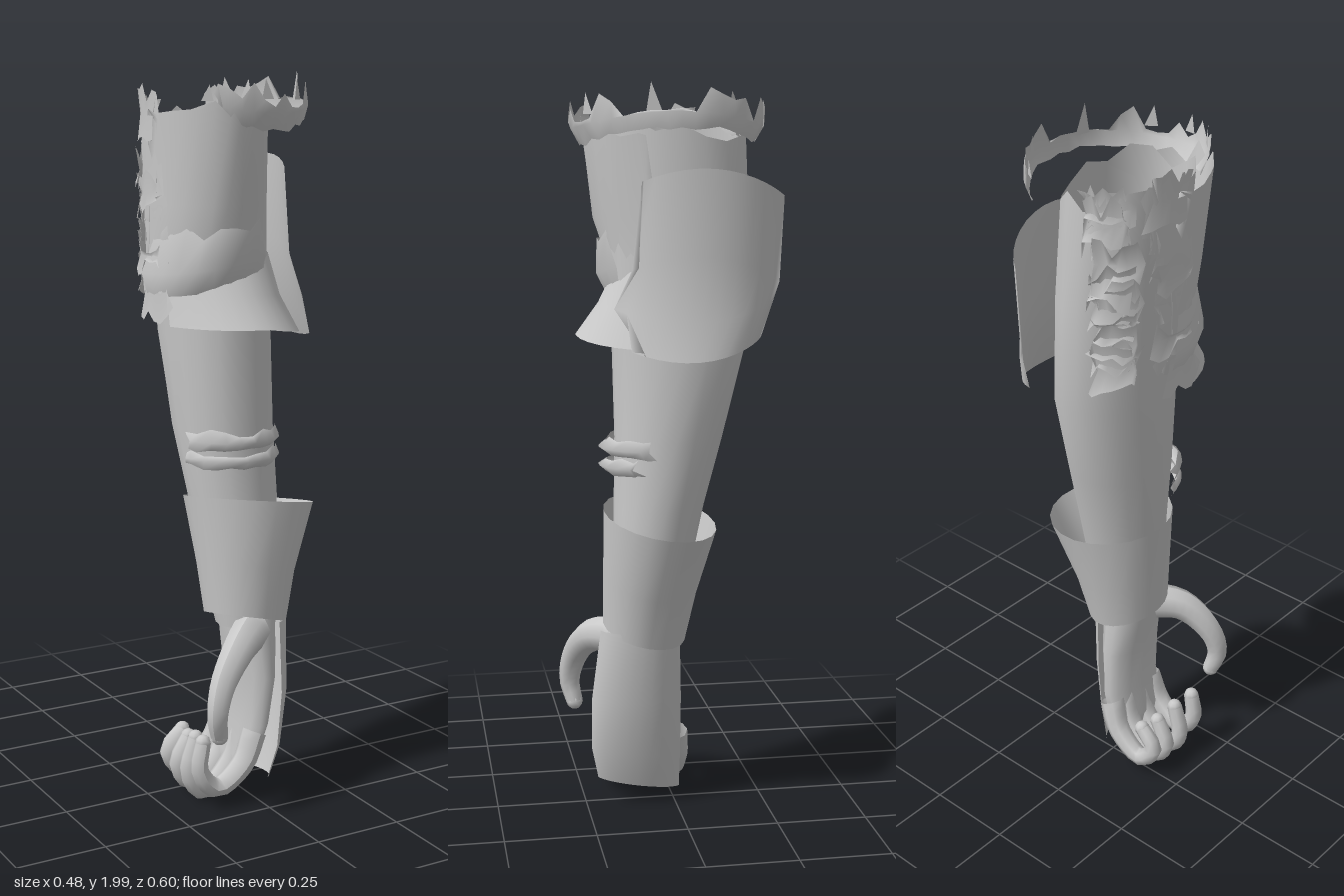
import * as THREE from 'three';

const RAD = Math.PI / 180;

export function createModel() {
  const model = new THREE.Group();
  model.name = 'tornSleeveArm';
  const grey = new THREE.MeshStandardMaterial({ color: 0xc8c8c8, side: THREE.DoubleSide });
  grey.name = 'plainGrey';

  let seed = 7;
  const rand = () => (seed = (seed * 16807) % 2147483647) / 2147483647;
  const add = (name, geometry, parent = model) => {
    const mesh = new THREE.Mesh(geometry, grey);
    mesh.name = name;
    parent.add(mesh);
    return mesh;
  };

  // Sheet through elliptical rings [y, cx, cz, rx, rz], bottom to top.
  // Angles: 0 = +x, 90 = +z, 180 = -x, 270 = -z. rag tears top, bottom and ends.
  function sheet(rings, { a0 = 0, a1 = 360, seg = 16, lift = () => 0, top = 0, bottom = 0, ends = 0 } = {}) {
    const closed = a1 - a0 === 360;
    const cols = closed ? seg : seg + 1;
    const pos = [], index = [];
    rings.forEach(([y, cx, cz, rx, rz], r) => {
      const t = r / (rings.length - 1);
      for (let i = 0; i < cols; i++) {
        let a = a0 + (a1 - a0) * i / seg;
        if (!closed && i === 0) a += ends * rand();
        if (!closed && i === seg) a -= ends * rand();
        let dy = lift(a * RAD, t);
        if (t === 1) dy += top * (rand() - 0.5);
        if (t === 0) dy += bottom * (rand() - 0.5);
        pos.push(cx + rx * Math.cos(a * RAD), y + dy, cz + rz * Math.sin(a * RAD));
      }
    });
    for (let r = 0; r < rings.length - 1; r++) {
      for (let i = 0; i < seg; i++) {
        const a = r * cols + i, b = r * cols + (i + 1) % cols;
        index.push(a, a + cols, b, b, a + cols, b + cols);
      }
    }
    const g = new THREE.BufferGeometry();
    g.setAttribute('position', new THREE.Float32BufferAttribute(pos, 3));
    g.setIndex(index);
    g.computeVertexNormals();
    return g;
  }

  // Tapered digit along a curve with a round tip
  function digit(name, points, r0, r1) {
    const group = new THREE.Group();
    group.name = name;
    const curve = new THREE.CatmullRomCurve3(points.map(p => new THREE.Vector3(...p)));
    const n = 14, sides = 8;
    const g = new THREE.TubeGeometry(curve, n, r0, sides, false);
    const p = g.attributes.position, v = new THREE.Vector3();
    for (let i = 0; i < p.count; i++) {
      const t = Math.floor(i / (sides + 1)) / n;
      const c = curve.getPointAt(t);
      v.fromBufferAttribute(p, i).sub(c).multiplyScalar(1 + (r1 / r0 - 1) * t).add(c);
      p.setXYZ(i, v.x, v.y, v.z);
    }
    g.computeVertexNormals();
    add(name + 'Body', g, group);
    add(name + 'Tip', new THREE.SphereGeometry(r1, 8, 6), group).position.set(...points[points.length - 1]);
    model.add(group);
  }

  // Arm
  add('arm', sheet([
    [0.5, 0.015, 0.09, 0.085, 0.085],
    [0.7, 0.005, 0.06, 0.11, 0.11],
    [0.86, 0, 0.04, 0.125, 0.125],
    [1.05, -0.015, 0.01, 0.137, 0.15],
    [1.3, -0.025, -0.02, 0.145, 0.185],
    [1.6, -0.045, -0.02, 0.14, 0.2],
    [1.88, -0.06, -0.01, 0.14, 0.2],
  ], { top: 0.08, seg: 18 }));

  // Inner sleeve, torn open at the back
  add('upperSleeve', sheet([
    [1.4, -0.05, -0.01, 0.15, 0.17],
    [1.5, -0.055, -0.01, 0.165, 0.17],
    [1.65, -0.065, 0, 0.15, 0.21],
    [1.88, -0.075, 0.01, 0.15, 0.23],
  ], { a0: 10, a1: 200, seg: 14, top: 0.1, bottom: 0.04, ends: 30 }));
  add('sleeveFold', sheet([
    [1.44, -0.06, 0, 0.165, 0.17],
    [1.5, -0.07, 0, 0.17, 0.2],
    [1.6, -0.06, 0, 0.15, 0.2],
  ], { a0: 50, a1: 190, seg: 9, top: 0.05, ends: 15, lift: a => 0.03 * Math.cos(a) }));

  // Large flared flap on the outer side
  add('sideFlap', sheet([
    [1.28, 0.02, -0.01, 0.215, 0.23],
    [1.38, 0.01, -0.02, 0.19, 0.26],
    [1.55, 0.0, -0.04, 0.165, 0.26],
    [1.76, 0.01, -0.06, 0.15, 0.25],
  ], {
    a0: -80, a1: 50, seg: 14, ends: 22,
    lift: (a, t) => (t > 0.5 ? -0.08 : 0.06) * Math.sin(a) ** 2 + (t === 1 ? 0.02 : 0),
  }));

  // Lower front lobes of the flap
  add('frontFlap', sheet([
    [1.335, -0.02, 0, 0.2, 0.265],
    [1.42, -0.035, 0, 0.17, 0.2],
    [1.52, -0.04, 0, 0.15, 0.15],
  ], { a0: 30, a1: 170, seg: 12, ends: 10, lift: (a, t) => (1 - t) * -0.03 * Math.max(0, Math.cos(a)) }));

  // Ragged collar round the top
  add('collar', sheet([
    [1.87, 0, 0.01, 0.19, 0.24],
    [1.91, -0.005, 0.01, 0.2, 0.265],
    [1.945, -0.01, 0.01, 0.195, 0.27],
  ], { a0: -75, a1: 140, seg: 26, top: 0.075, bottom: 0.02, ends: 14, lift: a => 0.02 * Math.cos(2 * a) - 0.005 }));

  // Tall torn spikes on the collar
  [[95, 1.97], [62, 1.975], [15, 2], [-35, 1.98], [-65, 1.965], [125, 1.975]].forEach(([deg, y]) => {
    const at = d => [-0.01 + 0.19 * Math.cos(d * RAD), 0.01 + 0.26 * Math.sin(d * RAD)];
    const [x0, z0] = at(deg - 5), [x1, z1] = at(deg + 5), [x2, z2] = at(deg + 2);
    const g = new THREE.BufferGeometry();
    g.setAttribute('position', new THREE.Float32BufferAttribute([x0, 1.92, z0, x2, y, z2, x1, 1.92, z1], 3));
    g.computeVertexNormals();
    add('collarSpike', g);
  });

  // Overlapping tatters on the inner and back side
  const tatters = new THREE.Group();
  tatters.name = 'tatters';
  for (let i = 0; i < 26; i++) {
    const y = 1.36 + 0.47 * (i / 25) + 0.03 * rand();
    const a0 = 150 + ((i * 53) % 105) + 10 * rand();
    const grow = 0.01 + 0.025 * rand();
    const h = 0.07 + 0.06 * rand();
    add('tatter', sheet([
      [y, -0.055, 0, 0.145 + grow, 0.2 + grow],
      [y + h * 0.5, -0.06, 0, 0.15 + grow * 0.5, 0.205],
      [y + h, -0.06, 0, 0.145 + grow * 0.8, 0.2 + grow],
    ], { a0, a1: a0 + 45, seg: 6, top: 0.06, bottom: 0.06, ends: 12 }), tatters);
  }
  model.add(tatters);

  // Torn strap across the forearm
  [[0.955, 0.995, 25, 172], [1.0, 1.05, 15, 165]].forEach(([y0, y1, a0, a1]) => add('forearmStrap', sheet([
    [y0, -0.02, 0.01, 0.14, 0.17],
    [(y0 + y1) / 2, -0.02, 0.01, 0.148, 0.195],
    [y1, -0.02, 0.01, 0.14, 0.175],
  ], { a0, a1, seg: 10, top: 0.02, bottom: 0.015, ends: 14 })));

  // Flared cuff with a slanted rim
  add('cuff', sheet([
    [0.51, 0.015, 0.085, 0.115, 0.115],
    [0.65, 0.025, 0.07, 0.14, 0.13],
    [0.835, 0.05, 0.045, 0.19, 0.155],
  ], { seg: 20, lift: a => -0.028 * Math.cos(a) + 0.022 * Math.sin(a) }));

  // Palm
  add('palm', sheet([
    [0.09, -0.04, 0.085, 0.012, 0.08],
    [0.13, -0.015, 0.085, 0.04, 0.105],
    [0.22, 0.01, 0.09, 0.045, 0.11],
    [0.36, 0.02, 0.1, 0.055, 0.11],
    [0.46, 0.015, 0.1, 0.07, 0.1],
    [0.56, 0.015, 0.09, 0.08, 0.085],
  ], { seg: 14 }));

  // Guard over the back of the hand
  add('handGuard', sheet([
    [0.06, 0.0, 0.1, 0.05, 0.12],
    [0.16, 0.015, 0.11, 0.065, 0.13],
    [0.32, 0.025, 0.11, 0.08, 0.13],
    [0.52, 0.03, 0.1, 0.085, 0.115],
  ], { a0: -75, a1: 75, seg: 10, lift: (a, t) => (1 - t) * 0.02 * Math.sin(a) }));

  // Thumb and curled fingers
  digit('thumb', [[0, 0.49, 0.15], [-0.08, 0.47, 0.22], [-0.155, 0.39, 0.262], [-0.178, 0.31, 0.275], [-0.165, 0.25, 0.262]], 0.055, 0.024);
  [[0.17, 0.03, 0.2], [0.105, 0.0, 0.19], [0.04, 0.003, 0.17], [-0.018, 0.025, 0.17]].forEach(([z, low, tip], i) => digit('finger' + (i + 1), [
    [0, 0.2, z * 0.9 + 0.01],
    [-0.04, 0.1 + low * 0.5, z],
    [-0.125, 0.03 + low, z],
    [-0.175, 0.09 + low, z],
    [-0.165 + i * 0.012, tip, z],
  ], 0.036, 0.022));

  return model;
}
